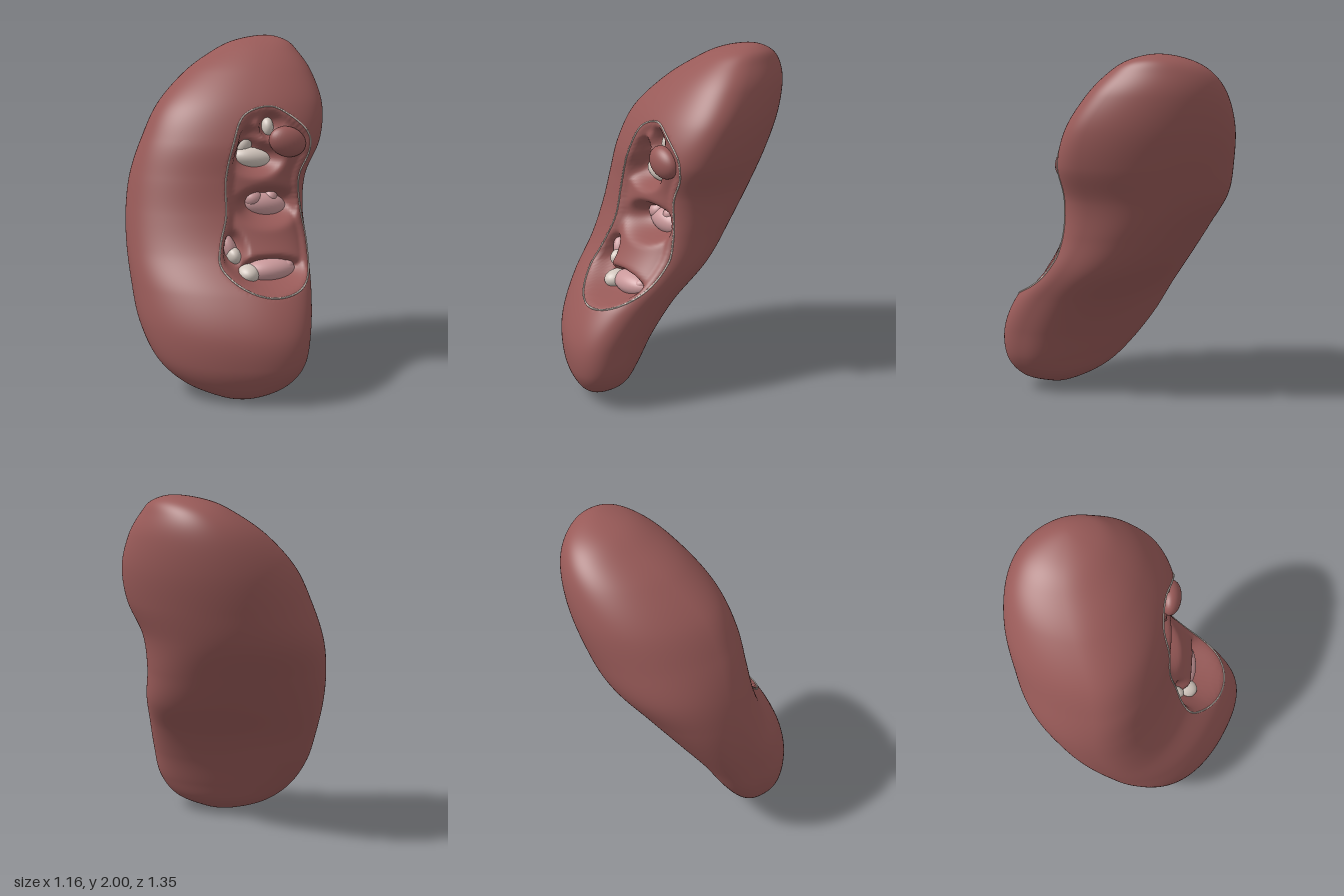
import * as THREE from 'three';

// Body sections: y, xMin, xMax, zMin, zMax, skew (+x side leans forward),
// shift (widest line moved forward), back power (2 = elliptic, more = squarer)
const SECTIONS = [
  [0, -0.06, -0.06, 0.42, 0.42, 0.48, 0, 2.4],
  [0.03, -0.2, 0.07, 0.3, 0.53, 0.48, 0, 2.4],
  [0.1, -0.355, 0.21, 0.18, 0.61, 0.48, 0, 2.5],
  [0.22, -0.475, 0.295, 0.075, 0.668, 0.5, 0, 2.6],
  [0.4, -0.545, 0.335, -0.05, 0.668, 0.48, 0, 2.8],
  [0.6, -0.57, 0.375, -0.17, 0.57, 0.42, 0.02, 2.8],
  [0.8, -0.58, 0.42, -0.31, 0.39, 0.3, 0.08, 2.6],
  [1.0, -0.57, 0.43, -0.45, 0.29, 0.22, 0.13, 2.3],
  [1.2, -0.535, 0.46, -0.585, 0.25, 0.18, 0.22, 2.1],
  [1.4, -0.465, 0.545, -0.645, 0.24, 0.18, 0.3, 2],
  [1.6, -0.36, 0.577, -0.675, 0.17, 0.16, 0.34, 2],
  [1.78, -0.18, 0.55, -0.66, 0.045, 0.16, 0.28, 2],
  [1.9, 0.0, 0.495, -0.6, -0.08, 0.18, 0.2, 2],
  [1.97, 0.15, 0.44, -0.495, -0.2, 0.2, 0.1, 2],
  [2.0, 0.33, 0.33, -0.35, -0.35, 0.2, 0, 2],
];
const LAST = SECTIONS.length - 1;
const FRONT_POWER = 2.25;

// Beyond a pole the sections mirror, so the ends round off smoothly
function section(i) {
  if (i >= 0 && i <= LAST) return SECTIONS[i];
  const [y, x0, x1, z0, z1, ...form] = SECTIONS[i < 0 ? -i : 2 * LAST - i];
  return [y, x1, x0, z1, z0, ...form];
}

// Smooth section at position s along the body
function sectionAt(s) {
  const i = Math.min(Math.floor(s), LAST - 1), t = s - i;
  const [a, b, c, d] = [-1, 0, 1, 2].map((o) => section(i + o));
  const [y, x0, x1, z0, z1, skew, shift, back] = b.map((p, n) => p + 0.5 * t * (c[n] - a[n]
    + t * (2 * a[n] - 5 * p + 4 * c[n] - d[n] + t * (3 * (p - c[n]) + d[n] - a[n]))));
  const hz = Math.max((z1 - z0) / 2, 0);
  // Round share of the depth on one side, keeping zMin and zMax exact
  const share = (depth, power) => {
    const q = power / (power - 1);
    return hz * (depth ** q - skew ** q) ** (1 / q);
  };
  return {
    y, cx: (x0 + x1) / 2, hx: (x1 - x0) / 2, cz: (z0 + z1) / 2 + shift * hz, lean: skew * hz,
    front: share(1 - shift, FRONT_POWER), rear: share(1 + shift, back), back,
  };
}

// Outline of the opening, seen from the front
const OPENING = new THREE.CatmullRomCurve3([
  [0.05, 1.55], [0.2, 1.6], [0.3, 1.56], [0.43, 1.44], [0.435, 1.34], [0.375, 1.2],
  [0.385, 1.0], [0.4, 0.85], [0.36, 0.69], [0.27, 0.62], [0.1, 0.595], [-0.05, 0.645],
  [-0.14, 0.74], [-0.125, 0.85], [-0.08, 1.0], [-0.07, 1.2], [-0.02, 1.4],
].map(([x, y]) => new THREE.Vector3(x, y, 0)), true);
const EDGE = OPENING.getPoints(110);

// Distance inside the outline; 0 outside
function insideDistance(x, y) {
  if (x < -0.2 || x > 0.5 || y < 0.55 || y > 1.65) return 0;
  let inside = false, best = Infinity;
  for (let i = 0; i < EDGE.length - 1; i++) {
    const p = EDGE[i], q = EDGE[i + 1];
    if ((p.y > y) !== (q.y > y) && x < p.x + ((y - p.y) / (q.y - p.y)) * (q.x - p.x)) inside = !inside;
    best = Math.min(best, Math.hypot(p.x - x, p.y - y));
  }
  return inside ? best : 0;
}

// Hollows between the tissue folds: x, y, radius x, radius y, depth
const HOLLOWS = [
  [0.12, 1.31, 0.13, 0.08, 0.13],
  [0.08, 1.4, 0.06, 0.08, 0.09],
  [0.21, 1.48, 0.06, 0.07, 0.1],
  [0.18, 1.04, 0.16, 0.09, 0.15],
  [-0.05, 0.81, 0.06, 0.09, 0.1],
  [0.14, 0.69, 0.19, 0.075, 0.15],
];

// How far the surface sinks at a point of the opening
function cavityDepth(x, y) {
  const d = insideDistance(x, y);
  if (!d) return 0;
  const sink = HOLLOWS.reduce((sum, [hx, hy, rx, ry, h]) =>
    sum + h * Math.exp(-((((x - hx) / rx) ** 2 + ((y - hy) / ry) ** 2) ** 2)), 0.03);
  return THREE.MathUtils.smoothstep(d, 0, 0.06) * Math.min(sink, 0.18);
}

// Height of the uncut front surface
function frontZ(x, y) {
  let lo = 0, hi = LAST;
  for (let n = 0; n < 30; n++) {
    const mid = (lo + hi) / 2;
    if (sectionAt(mid).y < y) lo = mid; else hi = mid;
  }
  const s = sectionAt(lo);
  const u = THREE.MathUtils.clamp((x - s.cx) / s.hx, -1, 1);
  return s.cz + s.lean * u + s.front * (1 - Math.abs(u) ** FRONT_POWER) ** (1 / FRONT_POWER);
}

function bodyGeometry(rows = 210, cols = 220) {
  const pos = [], index = [];
  for (let i = 0; i <= rows; i++) {
    const s = sectionAt((i / rows) * LAST);
    for (let j = 0; j < cols; j++) {
      const t = (j / cols) * Math.PI * 2, c = Math.cos(t), n = Math.sin(t);
      const power = n > 0 ? FRONT_POWER : s.back;
      const r = (Math.abs(c) ** power + Math.abs(n) ** power) ** (-1 / power);
      const x = s.cx + s.hx * r * c;
      let z = s.cz + s.lean * r * c + (n > 0 ? s.front : s.rear) * r * n;
      if (n > 0) z -= cavityDepth(x, s.y);
      pos.push(x, s.y, z);
      if (i < rows) {
        const a = i * cols + j, b = i * cols + ((j + 1) % cols);
        index.push(a, a + cols, b, b, a + cols, b + cols);
      }
    }
  }
  const g = new THREE.BufferGeometry();
  g.setAttribute('position', new THREE.Float32BufferAttribute(pos, 3));
  g.setIndex(index);
  g.computeVertexNormals();
  return g;
}

export function createModel() {
  const model = new THREE.Group();
  const material = (color) => new THREE.MeshStandardMaterial({ color });
  const flesh = material(0x985a58), pink = material(0xc9989a), pale = material(0xd2c6bd);
  const add = (name, geometry, mat) => {
    const mesh = new THREE.Mesh(geometry, mat);
    mesh.name = name;
    model.add(mesh);
    return mesh;
  };

  add('body', bodyGeometry(), flesh);

  // Fine pale line round the opening
  const line = new THREE.CatmullRomCurve3(OPENING.getPoints(60).slice(0, -1)
    .map((p) => new THREE.Vector3(p.x, p.y, frontZ(p.x, p.y))), true);
  add('openingLine', new THREE.TubeGeometry(line, 200, 0.005, 6, true), pale);

  // Chambers, vessel ends and a tissue fold: x, y, radii, roll, material
  const chambers = [
    ['upperFold', 0.3, 1.4, 0.11, 0.085, 0.06, -0.3, flesh],
    ['upperVessel', 0.21, 1.475, 0.038, 0.06, 0.06, 0, pale],
    ['upperChamber', 0.13, 1.3, 0.125, 0.06, 0.07, -0.12, pale],
    ['upperChamberArm', 0.08, 1.38, 0.05, 0.07, 0.06, -0.4, pale],
    ['middleChamber', 0.19, 1.03, 0.14, 0.075, 0.08, -0.15, pink],
    ['middleChamberLobe', 0.12, 1.07, 0.06, 0.055, 0.07, 0, pink],
    ['middleChamberTip', 0.23, 1.075, 0.045, 0.05, 0.07, 0, pink],
    ['sideVessel', -0.055, 0.81, 0.045, 0.09, 0.07, 0.35, pink],
    ['sideVesselEnd', -0.035, 0.775, 0.042, 0.055, 0.075, 0.35, pale],
    ['lowerChamber', 0.16, 0.69, 0.155, 0.07, 0.09, 0.05, pink],
    ['lowerChamberLobe', 0.03, 0.68, 0.065, 0.055, 0.09, 0, pale],
    ['lowerVessel', 0.25, 0.71, 0.06, 0.04, 0.07, 0.4, pink],
  ];
  for (const [name, x, y, rx, ry, rz, roll, mat] of chambers) {
    const mesh = add(name, new THREE.SphereGeometry(1, 32, 20), mat);
    mesh.scale.set(rx, ry, rz);
    mesh.rotation.z = roll;
    mesh.position.set(x, y, frontZ(x, y) - cavityDepth(x, y) - 0.01);
  }
  return model;
}
